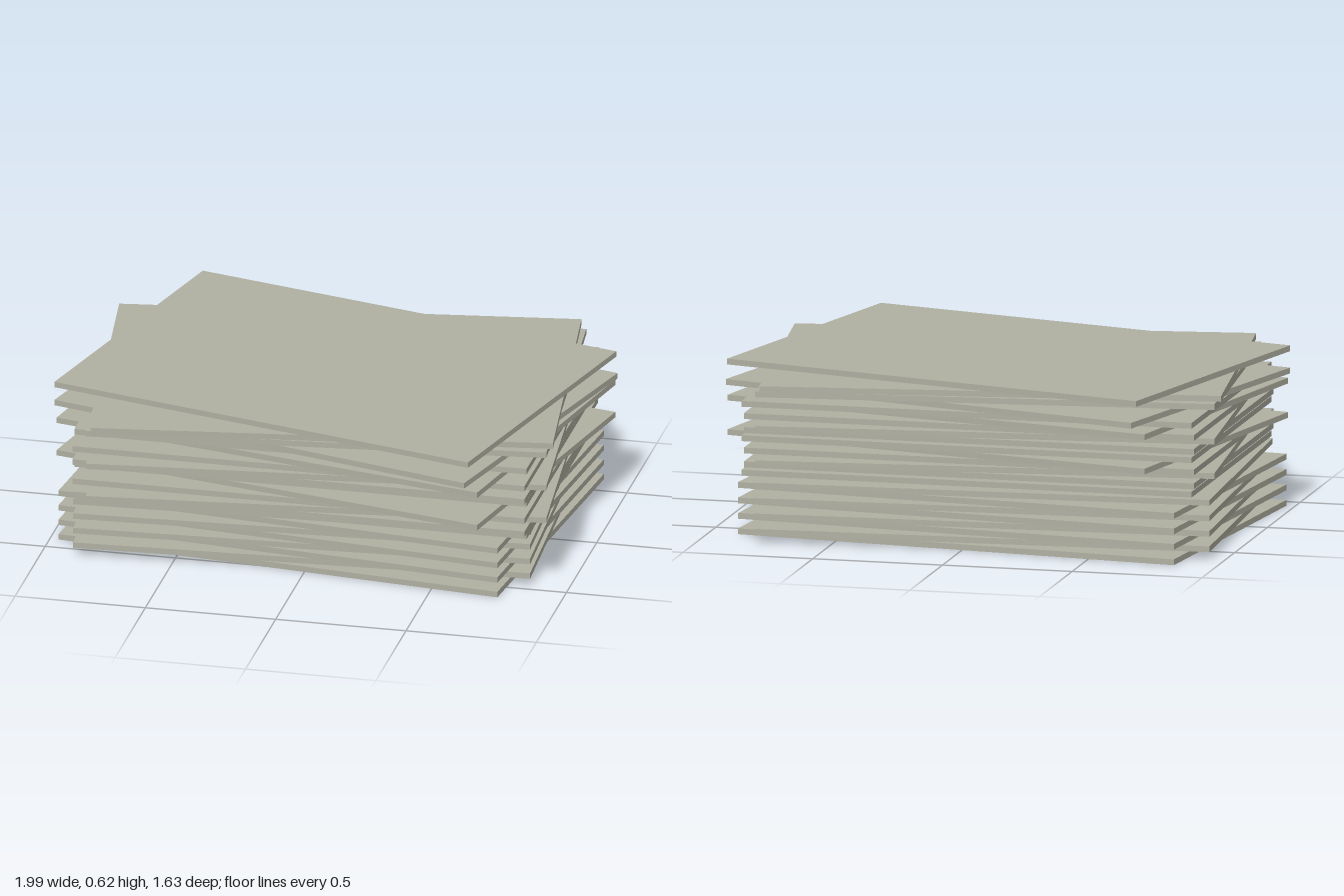
import * as THREE from 'three';

// A loose stack of flat boards, each turned a little differently
export function createModel() {
  const group = new THREE.Group();
  group.name = 'boardStack';

  const boardGrey = new THREE.MeshStandardMaterial({ color: 0xb0b0a2 });
  boardGrey.name = 'board grey';

  const thickness = 0.022;
  const board = new THREE.BoxGeometry(1.735, thickness, 1.22);

  // Ways a board can lie: [x, z, turn in degrees]
  const lay = {
    baseA: [-0.04, -0.093, -6],
    baseB: [-0.045, -0.095, 3],
    back: [-0.004, -0.038, 0],
    straight: [-0.003, 0, 0],
    left: [0, 0, 6],
    right: [0, 0, -12],
    topLeft: [0, 0, 8],
    farRight: [0, 0, -15],
    top: [-0.002, 0.002, -14],
  };

  // Boards from bottom to top: [lay, centre height]
  const stack = [];
  for (let i = 0; i < 8; i++) stack.push([i % 2 ? 'baseB' : 'baseA', 0.011 + i * 0.0294]);
  stack.push(
    ['back', 0.243], ['straight', 0.267], ['left', 0.291], ['straight', 0.32], ['right', 0.348],
    ['back', 0.374], ['straight', 0.398], ['left', 0.422], ['straight', 0.451], ['right', 0.479],
    ['back', 0.505], ['farRight', 0.528], ['left', 0.554], ['topLeft', 0.58], ['top', 0.609],
  );

  stack.forEach(([kind, y], i) => {
    const [x, z, turn] = lay[kind];
    const mesh = new THREE.Mesh(board, boardGrey);
    mesh.name = `board${i + 1}`;
    mesh.position.set(x, y, z);
    mesh.rotation.y = THREE.MathUtils.degToRad(turn);
    group.add(mesh);
  });

  return group;
}
